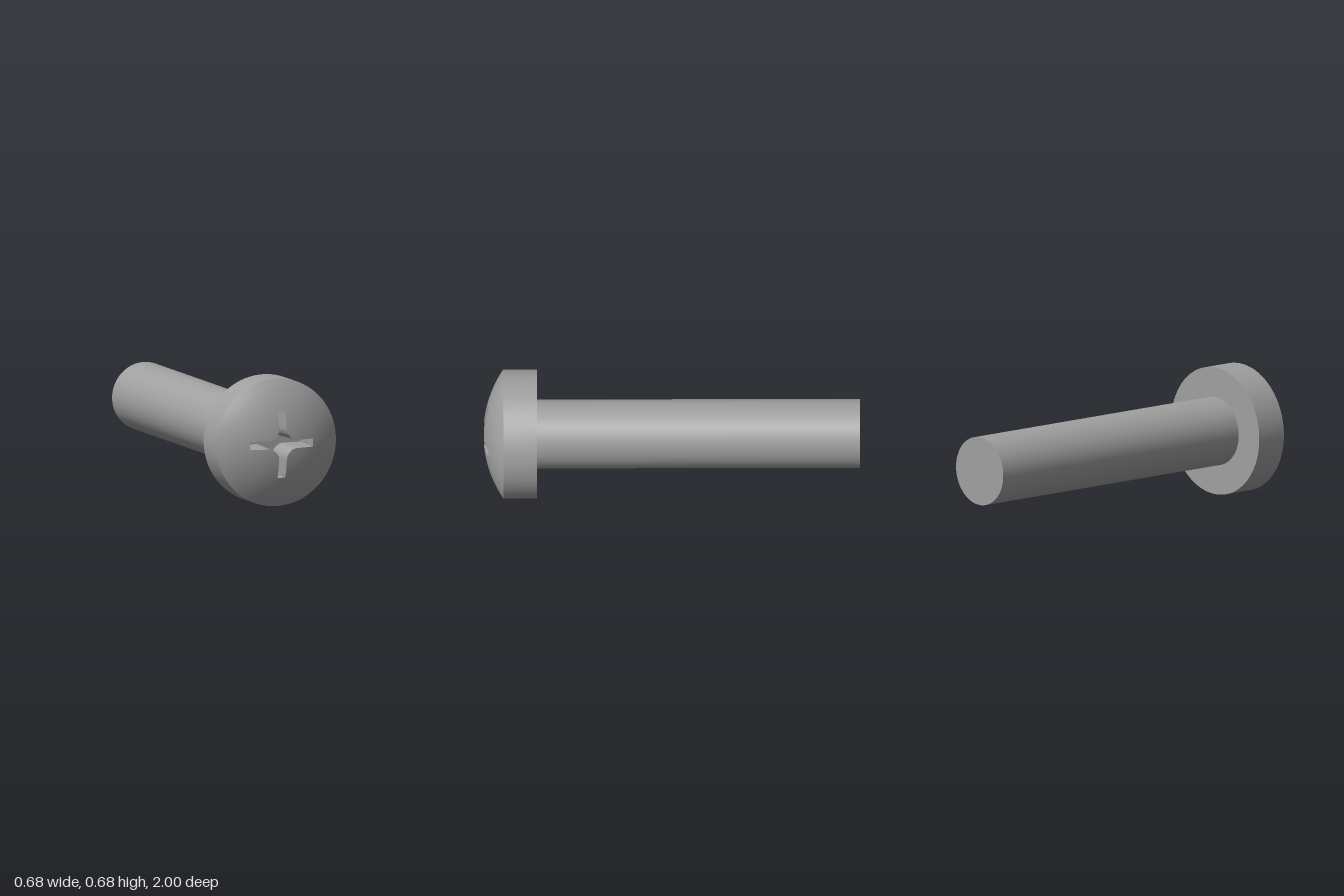
import * as THREE from 'three';
import { toCreasedNormals } from 'three/addons/utils/BufferGeometryUtils.js';

const HEAD_R = 0.342, SHANK_R = 0.183;
const BACK_Z = -1, HEAD_Z = 0.715, RIM_Z = 0.895, TIP_Z = 1;
const FLOOR_Z = 0.8;

// Spherical dome through the rim and the tip
const rise = TIP_Z - RIM_Z;
const DOME_R = (HEAD_R ** 2 + rise ** 2) / (2 * rise);
const domeZ = (r) => TIP_Z - DOME_R + Math.sqrt(DOME_R ** 2 - r ** 2);

// Counter-clockwise cross outline: arm length, arm half width, inner fillet radius
function crossOutline(length, half, fillet) {
  const arm = [];
  const c = half + fillet;
  for (let i = 0; i < 4; i++) arm.push([length, half * (i / 2 - 1)]);
  for (let i = 0; i < 4; i++) arm.push([length + (c - length) * i / 4, half]);
  for (let i = 0; i <= 16; i++) {
    const a = -Math.PI / 2 - i / 16 * Math.PI / 2;
    arm.push([c + fillet * Math.cos(a), c + fillet * Math.sin(a)]);
  }
  for (let i = 1; i < 4; i++) arm.push([half, c + (length - c) * i / 4]);
  const points = [];
  for (let k = 0; k < 4; k++) {
    for (const [x, y] of arm) {
      points.push(new THREE.Vector2(x, y).rotateAround(new THREE.Vector2(), k * Math.PI / 2));
    }
  }
  return points;
}

// Skin between successive closed rings of equal point count
function loft(rings) {
  const n = rings[0].length, index = [];
  for (let j = 0; j < rings.length - 1; j++) {
    for (let i = 0; i < n; i++) {
      const a = j * n + i, d = j * n + (i + 1) % n;
      index.push(a, a + n, d + n, a, d + n, d);
    }
  }
  const geometry = new THREE.BufferGeometry().setFromPoints(rings.flat());
  geometry.setIndex(index);
  return toCreasedNormals(geometry, THREE.MathUtils.degToRad(30));
}

export function createModel() {
  const group = new THREE.Group();
  const steel = new THREE.MeshStandardMaterial({ color: 0xa0a0a0 });
  steel.name = 'steel grey';

  const add = (name, geometry) => {
    const mesh = new THREE.Mesh(geometry, steel);
    mesh.name = name;
    mesh.position.y = HEAD_R;
    group.add(mesh);
    return mesh;
  };

  const mouth = crossOutline(0.18, 0.022, 0.062);
  const base = crossOutline(0.176, 0.018, 0.062);
  const circle = (r, z) => mouth.map((p) => {
    const a = p.angle();
    return new THREE.Vector3(r * Math.cos(a), r * Math.sin(a), z);
  });

  // Domed head, from the cross-shaped opening out to the rim and round to the underside
  const headRings = [];
  for (let j = 0; j <= 12; j++) {
    headRings.push(mouth.map((p) => {
      const r = THREE.MathUtils.lerp(p.length(), HEAD_R, j / 12);
      const a = p.angle();
      return new THREE.Vector3(r * Math.cos(a), r * Math.sin(a), domeZ(r));
    }));
  }
  headRings.push(circle(HEAD_R, HEAD_Z), circle(SHANK_R - 0.01, HEAD_Z));
  add('head', loft(headRings));

  // Tapered driver recess: flat floor and walls
  add('driverRecess', loft([
    circle(0, FLOOR_Z),
    base.map((p) => new THREE.Vector3(p.x, p.y, FLOOR_Z)),
    headRings[0],
  ]));

  // Plain shank along z
  const length = HEAD_Z - BACK_Z;
  const shank = add('shank', new THREE.CylinderGeometry(SHANK_R, SHANK_R, length, 96));
  shank.rotation.x = Math.PI / 2;
  shank.position.z = BACK_Z + length / 2;

  return group;
}
